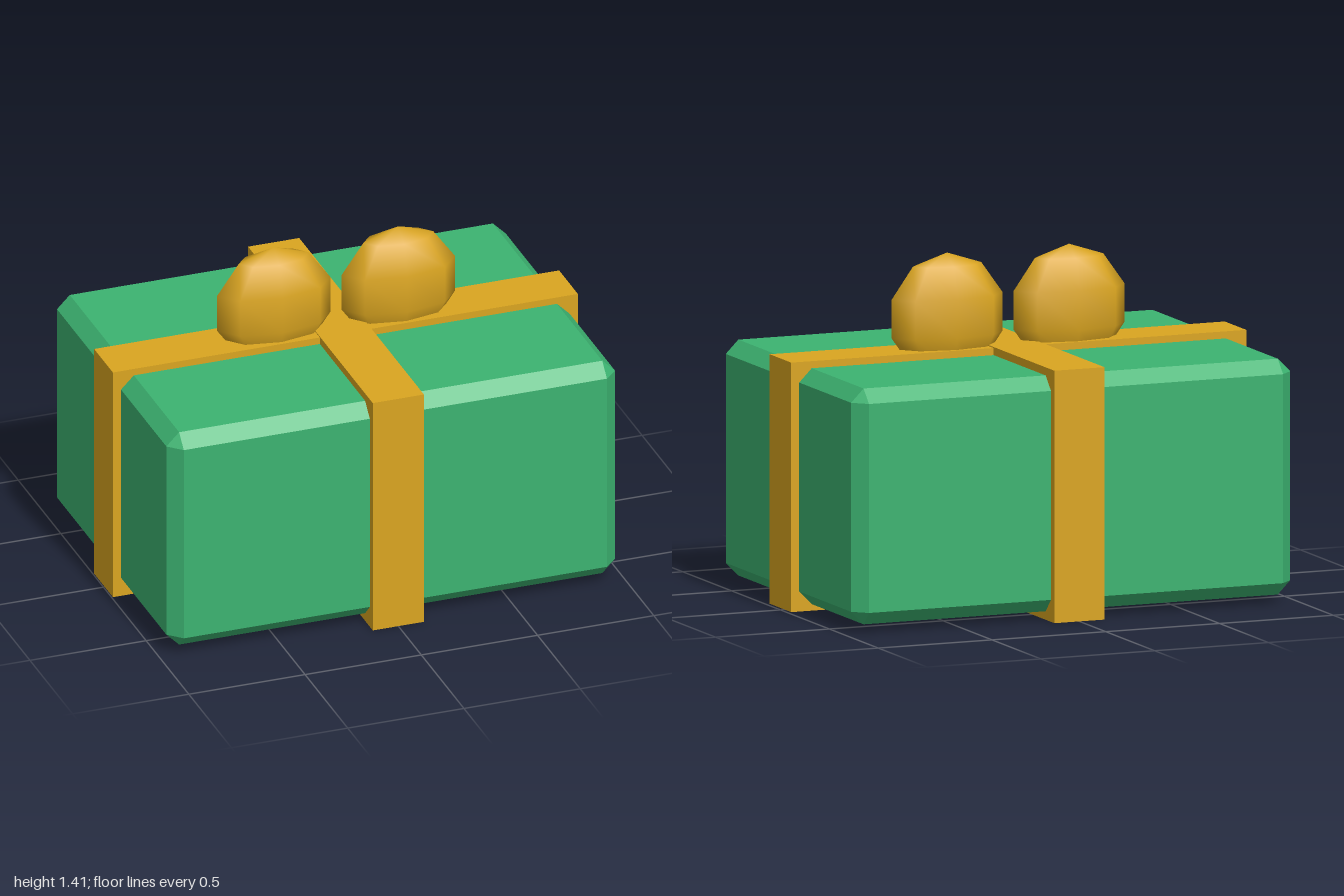
import * as THREE from 'three';
import { ConvexGeometry } from 'three/addons/geometries/ConvexGeometry.js';

// Box with flat bevels on every edge and a triangle at every corner
function chamferedBox(hx, hy, hz, c) {
  const points = [];
  for (const sx of [-1, 1]) for (const sy of [-1, 1]) for (const sz of [-1, 1]) {
    points.push(
      new THREE.Vector3(sx * hx, sy * (hy - c), sz * (hz - c)),
      new THREE.Vector3(sx * (hx - c), sy * hy, sz * (hz - c)),
      new THREE.Vector3(sx * (hx - c), sy * (hy - c), sz * hz));
  }
  return new ConvexGeometry(points);
}

export function createModel() {
  const green = new THREE.MeshStandardMaterial({ color: 0x3cb371 });
  green.name = 'wrappingGreen';
  const gold = new THREE.MeshStandardMaterial({ color: 0xdaa520 });
  gold.name = 'ribbonGold';

  const model = new THREE.Group();
  model.name = 'giftBox';
  const add = (name, geometry, material, x, y, z) => {
    const mesh = new THREE.Mesh(geometry, material);
    mesh.name = name;
    mesh.position.set(x, y, z);
    model.add(mesh);
    return mesh;
  };

  // Wrapped box
  add('box', chamferedBox(0.965, 0.483, 0.696, 0.055), green, 0, 0.518, 0);

  // Crossed ribbons, the front-to-back one slightly proud of the other
  add('ribbonAcross', new THREE.BoxGeometry(2, 1.022, 0.22), gold, 0, 0.519, 0);
  add('ribbonFrontToBack', new THREE.BoxGeometry(0.22, 1.034, 1.462), gold, 0, 0.517, 0);

  // Bow: two flattened low-poly loops, smooth shaded
  const loop = new THREE.SphereGeometry(1, 8, 5);
  for (const side of [-1, 1]) {
    const mesh = add(side > 0 ? 'bowLoopLeft' : 'bowLoopRight', loop, gold, side * 0.268, 1.158, 0);
    mesh.scale.set(0.256, 0.257, 0.116);
  }
  return model;
}
